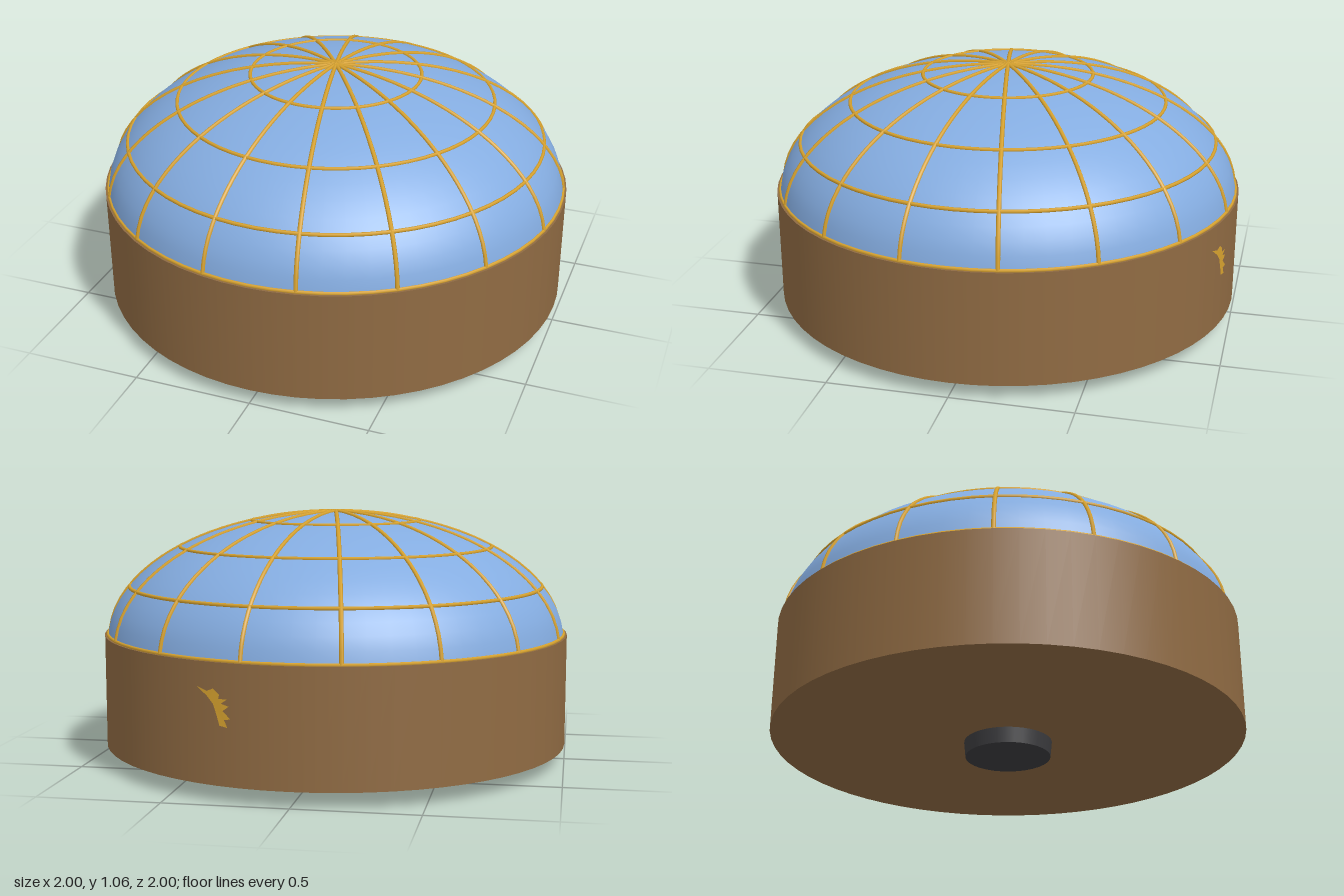
import * as THREE from 'three';

const A = 0.988, B = 0.552, CY = 0.505;   // dome ellipse
const STEP = THREE.MathUtils.degToRad(21.5); // spacing of the rings down the dome

function domePoint(t) {
  return new THREE.Vector2(A * Math.sin(t), CY + B * Math.cos(t));
}

export function createModel() {
  const material = (name, color) => {
    const m = new THREE.MeshStandardMaterial({ color });
    m.name = name;
    return m;
  };
  const wood = material('brown wood', 0x906b43);
  const glass = material('blue panel', 0x84ace0);
  const gold = material('gold trim', 0xd8a32f);
  const dark = material('dark grey', 0x3c3c3f);

  const model = new THREE.Group();
  const add = (name, geometry, mat, parent = model) => {
    const mesh = new THREE.Mesh(geometry, mat);
    mesh.name = name;
    parent.add(mesh);
    return mesh;
  };

  // Drum and the small foot under it
  add('drum', new THREE.CylinderGeometry(1, 1, 0.475, 64), wood).position.y = 0.3025;
  add('foot', new THREE.CylinderGeometry(0.187, 0.18, 0.07, 32), dark).position.y = 0.035;

  // Dome, revolved from rim to crown
  const profile = [];
  for (let i = 16; i >= 0; i--) profile.push(domePoint(STEP * 4 * i / 16));
  profile[16].x = 0;
  add('dome', new THREE.LatheGeometry(profile, 64), glass);

  // Horizontal rings and the rim
  const rings = new THREE.Group();
  rings.name = 'domeRings';
  model.add(rings);
  for (let i = 1; i <= 4; i++) {
    const p = domePoint(STEP * i);
    const ring = add(i === 4 ? 'rim' : 'ring', new THREE.TorusGeometry(p.x, 0.008, 6, 64), gold, rings);
    ring.rotation.x = Math.PI / 2;
    ring.position.y = p.y;
  }

  // Sixteen ribs meeting at the crown
  const ribs = new THREE.Group();
  ribs.name = 'domeRibs';
  model.add(ribs);
  const path = new THREE.CatmullRomCurve3(
    Array.from({ length: 13 }, (_, i) => {
      const p = domePoint(STEP * 4 * i / 12);
      return new THREE.Vector3(p.x, p.y, 0);
    }));
  const ribGeometry = new THREE.TubeGeometry(path, 24, 0.009, 6);
  for (let k = 0; k < 16; k++) {
    add('rib', ribGeometry, gold, ribs).rotation.y = (k + 0.5) * Math.PI / 8;
  }

  // Small jagged inlay wrapped on the back of the drum
  const outline = [
    [-0.081, 0.444], [-0.034, 0.429], [-0.007, 0.44], [0.02, 0.418], [0.016, 0.402],
    [0.054, 0.403], [0.027, 0.385], [0.06, 0.376], [0.034, 0.357], [0.067, 0.328],
    [0.04, 0.323], [0.054, 0.294], [0.02, 0.3], [0.007, 0.342], [-0.007, 0.381], [-0.034, 0.41],
  ].map(([s, y]) => new THREE.Vector2(s, y));
  const inlay = new THREE.ShapeGeometry(new THREE.Shape(outline));
  const pos = inlay.attributes.position;
  for (let i = 0; i < pos.count; i++) {
    const a = THREE.MathUtils.degToRad(17) - pos.getX(i);
    pos.setXYZ(i, 1.004 * Math.sin(a), pos.getY(i), -1.004 * Math.cos(a));
  }
  inlay.computeVertexNormals();
  add('inlay', inlay, gold);

  return model;
}
